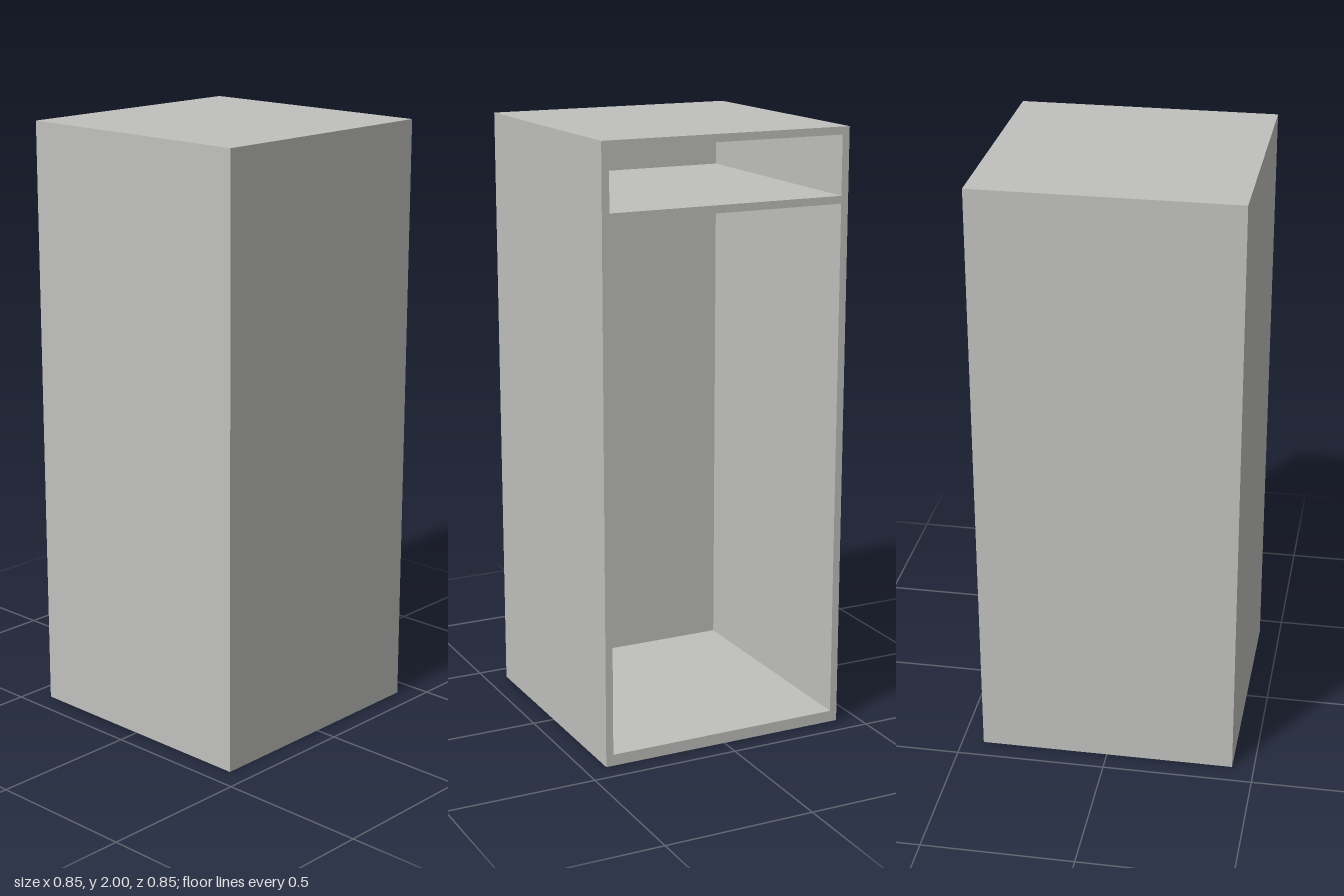
import * as THREE from 'three';

const W = 0.854, H = 2, D = 0.854; // overall size
const T = 0.025;                   // board thickness
const BASE = 0.038;                // floor board thickness
const FRONT = 0.004;               // thin front panel
const SHELF_Y = 1.77;              // shelf centre height

export function createModel() {
  const group = new THREE.Group();
  group.name = 'cabinet';
  const grey = new THREE.MeshStandardMaterial({ color: 0xc0c0be });
  grey.name = 'light grey';

  const board = (name, w, h, d, x, y, z) => {
    const mesh = new THREE.Mesh(new THREE.BoxGeometry(w, h, d), grey);
    mesh.name = name;
    mesh.position.set(x, y, z);
    group.add(mesh);
  };

  const depth = D - FRONT, z = -FRONT / 2, inner = W - 2 * T;

  // closed front
  board('frontPanel', W, H, FRONT, 0, H / 2, (D - FRONT) / 2);

  // side walls
  for (const s of [-1, 1]) {
    board(s > 0 ? 'leftSide' : 'rightSide', T, H, depth, s * (W - T) / 2, H / 2, z);
  }

  // horizontal boards between the sides, open at the back
  board('topPanel', inner, T, depth, 0, H - T / 2, z);
  board('shelf', inner, T, depth, 0, SHELF_Y, z);
  board('bottomPanel', inner, BASE, depth, 0, BASE / 2, z);

  return group;
}
